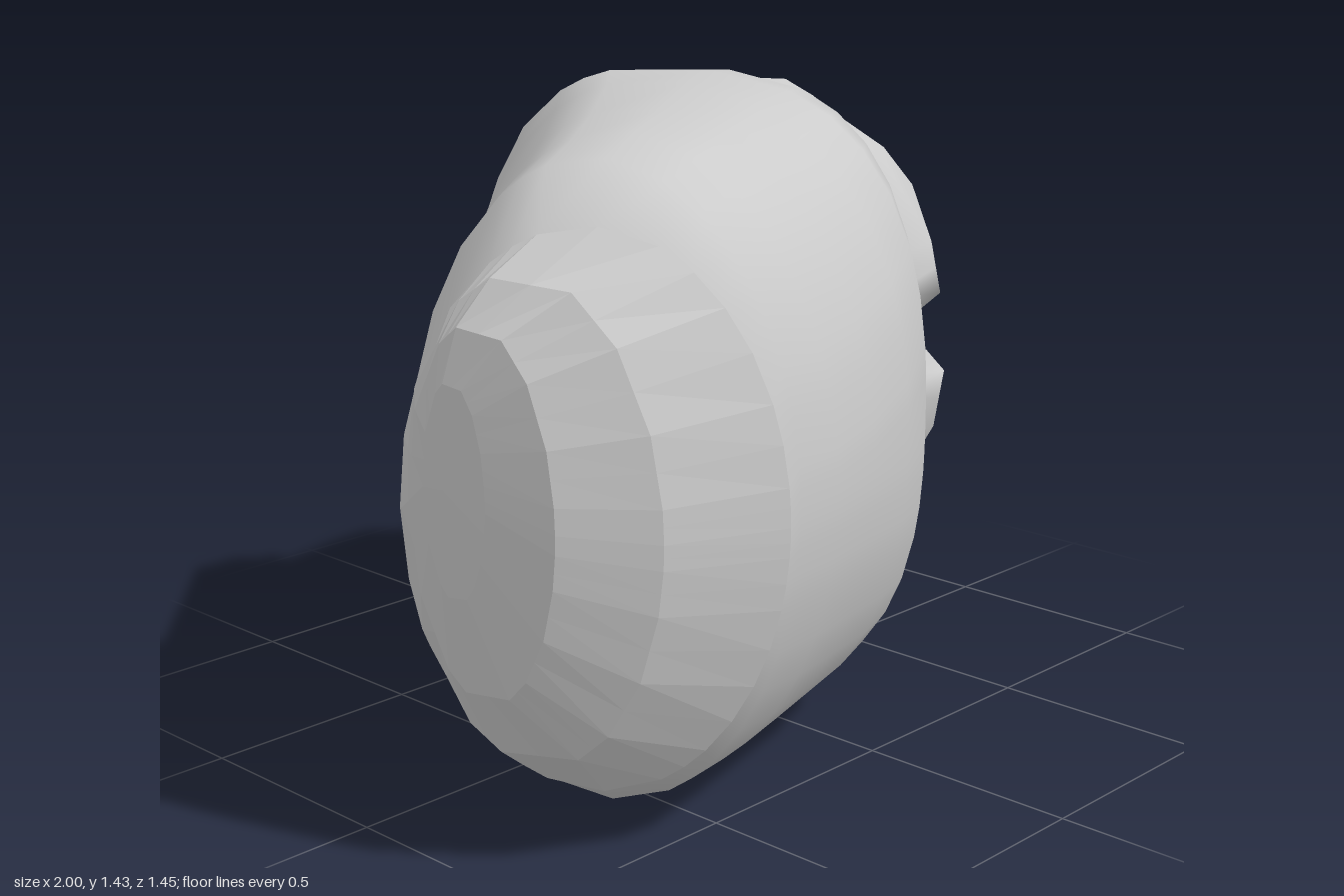
import * as THREE from 'three';

const material = new THREE.MeshStandardMaterial({ color: 0xcccccc, side: THREE.DoubleSide });
const facetMaterial = new THREE.MeshStandardMaterial({ color: 0xcccccc, side: THREE.DoubleSide, flatShading: true });

// Skin a list of equally long rows of points; a closed row joins its ends.
function loft(name, rows, closed = false, mat = material) {
  const n = rows[0].length;
  const index = [];
  for (let i = 0; i < rows.length - 1; i++) {
    for (let j = 0; j < (closed ? n : n - 1); j++) {
      const k = (j + 1) % n;
      const a = i * n + j, b = a + n, c = i * n + k, d = c + n;
      index.push(a, b, c, b, d, c);
    }
  }
  const geometry = new THREE.BufferGeometry();
  geometry.setAttribute('position', new THREE.Float32BufferAttribute(rows.flat(2), 3));
  geometry.setIndex(index);
  geometry.computeVertexNormals();
  const mesh = new THREE.Mesh(geometry, mat);
  mesh.name = name;
  return mesh;
}

// Share normals where two skins meet, so the seam shades smoothly.
function softenSeam(meshA, meshB) {
  const a = meshA.geometry.attributes, b = meshB.geometry.attributes;
  const p = new THREE.Vector3(), q = new THREE.Vector3();
  for (let i = 0; i < a.position.count; i++) {
    p.fromBufferAttribute(a.position, i);
    for (let j = 0; j < b.position.count; j++) {
      if (p.distanceTo(q.fromBufferAttribute(b.position, j)) > 1e-4) continue;
      const sum = new THREE.Vector3().fromBufferAttribute(a.normal, i);
      sum.add(q.fromBufferAttribute(b.normal, j)).normalize();
      a.normal.setXYZ(i, sum.x, sum.y, sum.z);
      b.normal.setXYZ(j, sum.x, sum.y, sum.z);
    }
  }
}

const mix = (a, b, t) => a + (b - a) * t;
const midpoint = (p, q) => p.map((v, i) => mix(v, q[i], 0.5));
// Add a midpoint after every point that has a successor.
const densify = (row) => row.flatMap((p, i) => (i < row.length - 1 ? [p, midpoint(p, row[i + 1])] : [p]));

// Upright ring between a front and a back plan point; a lower power is squarer.
function ring([fx, fz, bx, bz, low, high, power], angles) {
  const bulge = (v) => Math.sign(v) * Math.abs(v) ** power;
  return angles.map((deg) => {
    const r = THREE.MathUtils.degToRad(deg);
    const t = (1 - bulge(Math.cos(r))) / 2;
    return [mix(fx, bx, t), mix(low, high, (1 + bulge(Math.sin(r))) / 2), mix(fz, bz, t)];
  });
}

// Prong cross-sections at base, middle and open end: [x, y, z].
// Upper rows run from the fold in the gap, over the top, to the back flap.
const upper = [
  [[0.31, 0.82, -0.17], [0.33, 0.84, 0.26], [0.33, 1.0, 0.24], [0.31, 1.2, 0.12], [0.3, 1.34, -0.08], [0.26, 1.39, -0.37], [0.25, 1.1, -0.37]],
  [[0.46, 0.85, -0.24], [0.62, 0.88, 0.18], [0.62, 1.0, 0.15], [0.59, 1.18, 0.03], [0.52, 1.33, -0.14], [0.42, 1.35, -0.44], [0.37, 1.1, -0.43]],
  [[0.58, 0.87, -0.41], [0.97, 0.98, -0.15], [0.95, 1.06, -0.17], [0.88, 1.16, -0.21], [0.66, 1.34, -0.35], [0.52, 1.35, -0.45], [0.46, 1.11, -0.46]],
];
// Lower rows run from the back flap, under the bottom, to the fold in the gap.
const lower = [
  [[0.25, 0.37, -0.35], [0.27, 0.05, -0.32], [0.33, 0.07, -0.1], [0.33, 0.22, 0.04], [0.33, 0.4, 0.18], [0.34, 0.55, 0.25], [0.34, 0.69, 0.26], [0.31, 0.66, -0.17]],
  [[0.36, 0.38, -0.41], [0.4, 0.12, -0.38], [0.5, 0.17, -0.16], [0.57, 0.27, -0.01], [0.6, 0.42, 0.1], [0.62, 0.55, 0.17], [0.63, 0.69, 0.19], [0.46, 0.64, -0.24]],
  [[0.48, 0.4, -0.44], [0.53, 0.18, -0.43], [0.74, 0.2, -0.32], [0.86, 0.31, -0.25], [0.95, 0.43, -0.19], [0.98, 0.53, -0.165], [1.0, 0.62, -0.15], [0.58, 0.655, -0.41]],
];

export function createModel() {
  const model = new THREE.Group();
  model.name = 'hollowShell';

  // Rim of the opening, running front, top, back, bottom
  const front = [0.33, 0.76, 0.26];
  const rim = [
    front, ...upper[0].slice(1),
    [0.15, 1.07, -0.68], [0.15, 0.72, -0.7], [0.15, 0.36, -0.66],
    ...lower[0].slice(0, -1), front,
  ];
  const rimAngles = [0, 8, 25, 48, 70, 105, 120, 150, 180, 210, 240, 255, 290, 305, 325, 343, 354, 360];
  const fineRim = densify(rim).slice(0, -1);
  const fineAngles = densify(rimAngles.map((a) => [a])).flat().slice(0, -1);

  // Body rings: front x, front z, back x, back z, low y, high y, power
  const bodyRings = [
    [-0.53, 0.72, -0.95, 0.08, 0.12, 1.25, 1],
    [-0.49, 0.71, -0.8, -0.06, 0.05, 1.36, 1],
    [-0.33, 0.67, -0.6, -0.23, 0.01, 1.38, 1],
    [-0.17, 0.63, -0.41, -0.4, 0, 1.4, 0.96],
    [0, 0.58, -0.2, -0.58, 0, 1.43, 0.88],
    [0.16, 0.5, -0.03, -0.73, 0.01, 1.435, 0.78],
    [0.29, 0.38, 0.09, -0.71, 0.03, 1.42, 0.76],
  ];
  const bodyRows = bodyRings.map((r) => ring(r, fineAngles));
  const body = loft('body', [...bodyRows, fineRim], true);
  model.add(body);

  // Faceted closed end, with broad facets meeting the body's finer first ring
  const capRings = [
    [-1, 0.27, -1, 0.27, 0.77, 0.77, 1],
    [-0.985, 0.37, -0.998, 0.21, 0.55, 0.98, 1],
    [-0.94, 0.51, -0.985, 0.15, 0.35, 1.09, 1],
    [-0.79, 0.64, -0.97, 0.11, 0.21, 1.18, 1],
  ];
  const capRows = capRings.map((r) => {
    const row = ring(r, fineAngles);
    return row.map((p, j) => (j % 2 ? midpoint(row[j - 1], row[(j + 1) % row.length]) : p));
  });
  model.add(loft('facetedEndCap', [...capRows, bodyRows[0]], true, facetMaterial));

  // Web closing the root of the gap between the prongs
  const web = loft('web', [
    [[0.34, 0.69, 0.26], front, [0.33, 0.84, 0.26]],
    [[0.325, 0.675, 0.045], [0.32, 0.75, 0.045], [0.32, 0.83, 0.045]],
    [[0.31, 0.66, -0.17], [0.3, 0.74, -0.19], [0.31, 0.82, -0.17]],
  ]);
  model.add(web);

  // Two channel-shaped prongs, open at the end and towards the back
  const prongs = { upperProng: upper, lowerProng: lower };
  for (const [name, rows] of Object.entries(prongs)) {
    const prong = loft(name, rows.map(densify));
    softenSeam(body, prong);
    softenSeam(web, prong);
    model.add(prong);
  }

  return model;
}
